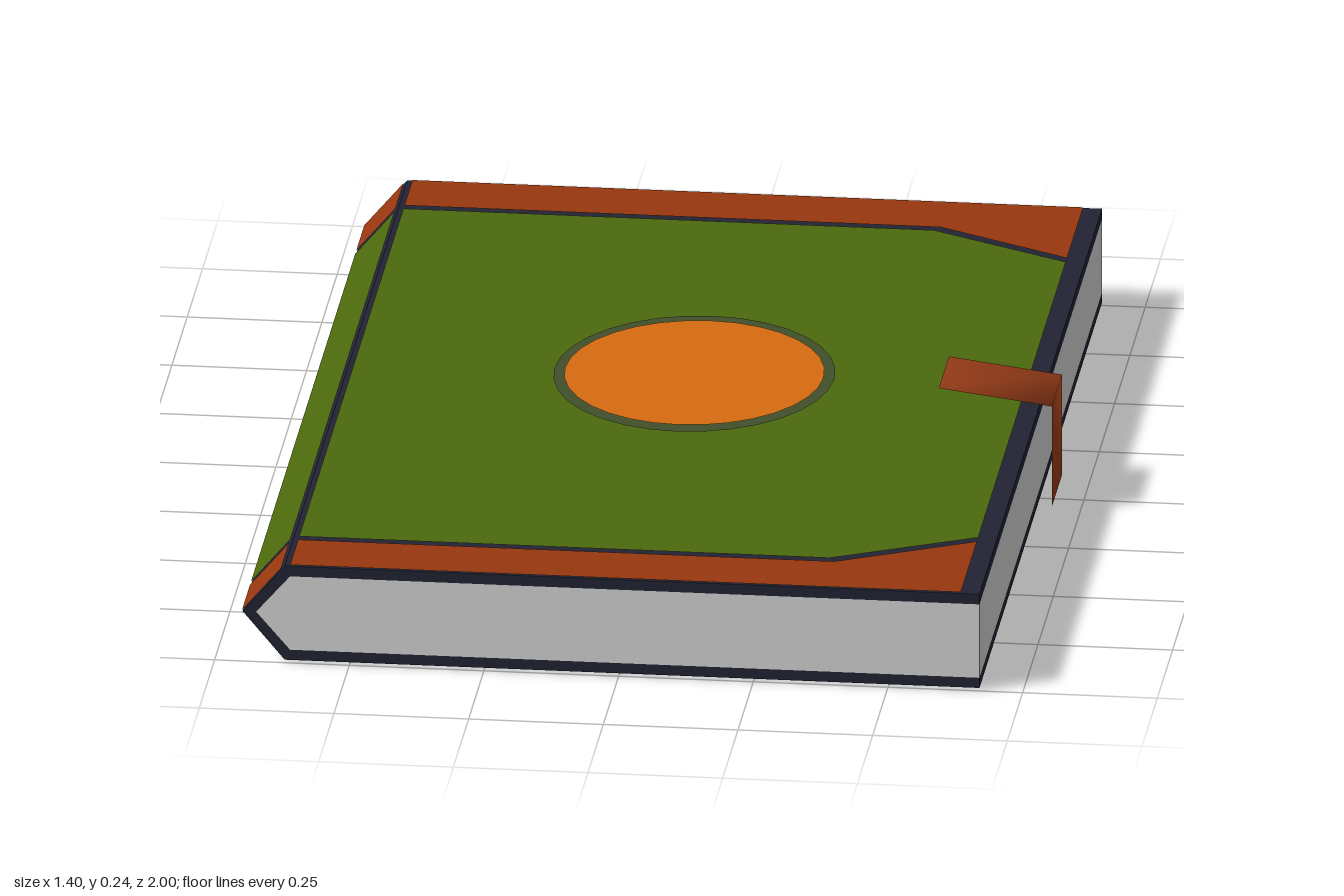
import * as THREE from 'three';

const mat = (name, color) => {
  const m = new THREE.MeshStandardMaterial({ color });
  m.name = name;
  return m;
};

export function createModel() {
  const navy = mat('navy edge', 0x212335);
  const green = mat('green cloth', 0x4c6a0d);
  const rust = mat('rust leather', 0x983810);
  const paper = mat('paper', 0xdadada);
  const orange = mat('orange medallion', 0xd86c11);
  const olive = mat('olive ring', 0x42502a);
  const strapMat = mat('strap leather', 0x983c18);
  strapMat.side = THREE.DoubleSide;

  const H = 0.185, MID = H / 2, HINGE = -0.62, SPINE = -0.698, EDGE = 0.67;
  const book = new THREE.Group();
  book.name = 'book';

  const add = (parent, name, geometry, material) => {
    const mesh = new THREE.Mesh(geometry, material);
    mesh.name = name;
    parent.add(mesh);
    return mesh;
  };
  const shapeOf = pts => new THREE.Shape(pts.map(p => new THREE.Vector2(...p)));

  // Profile in x/y, run along the full height of the book
  const block = (name, pts, material) => {
    const g = new THREE.ExtrudeGeometry(shapeOf(pts), { depth: 2, bevelEnabled: false });
    add(book, name, g.translate(0, 0, -1), material);
  };
  const T = 0.02;
  const inner = [[EDGE, H - T], [HINGE + 0.01, H - T], [SPINE + 0.025, MID], [HINGE + 0.01, T], [EDGE, T]];
  block('coverShell', [[EDGE, H], [HINGE, H], [SPINE, MID], [HINGE, 0], [EDGE, 0], ...[...inner].reverse()], navy);
  block('pages', inner, paper);

  // Painted panel from x/z points, facing up
  const panel = (parent, name, pts, material, y = 0.002) =>
    add(parent, name, new THREE.ShapeGeometry(shapeOf(pts.map(([x, z]) => [x, -z]))).rotateX(-Math.PI / 2).translate(0, y, 0), material);
  const disc = (parent, name, rx, rz, material, y) => {
    const g = new THREE.CircleGeometry(1, 32).scale(rx, rz, 1).rotateX(-Math.PI / 2);
    add(parent, name, g.translate(0.02, y, -0.06), material);
  };

  const slope = Math.hypot(HINGE - SPINE, MID);
  const angle = Math.atan2(MID, HINGE - SPINE);

  // Same decoration on both covers, the back one turned over
  for (const side of ['front', 'back']) {
    const cover = new THREE.Group();
    cover.name = side + 'Cover';
    cover.position.y = side === 'front' ? H : 0;
    if (side === 'back') cover.rotation.x = Math.PI;
    book.add(cover);

    panel(cover, 'clothPanel', [[-0.61, -0.85], [0.375, -0.85], [0.635, -0.715],
      [0.635, 0.715], [0.375, 0.85], [-0.61, 0.85]], green);
    disc(cover, 'medallionRing', 0.26, 0.3, olive, 0.004);
    disc(cover, 'medallion', 0.24, 0.27, orange, 0.006);

    // Half of the spine, sloping down from the hinge
    const spine = new THREE.Group();
    spine.name = 'spineHalf';
    spine.position.x = HINGE;
    spine.rotation.z = angle;
    cover.add(spine);
    const band = (name, z0, z1, m) =>
      panel(spine, name, [[-slope, z0], [-0.008, z0], [-0.008, z1], [-slope, z1]], m);
    band('spineCloth', -0.85, 0.85, green);

    for (const s of [-1, 1]) {
      panel(cover, 'leatherCorner', [[-0.61, 0.867], [0.385, 0.867], [0.635, 0.735],
        [0.635, 0.998], [-0.61, 0.998]].map(([x, z]) => [x, z * s]), rust);
      band('spineLeather', 0.867 * s, 0.998 * s, rust);
    }
  }

  // Bent strap over the fore edge, a thin sheet with soft shading at the bend
  const path = [[0.49, 0.235], [0.7, 0.208], [0.7, 0.01]];
  const strap = new THREE.PlaneGeometry(1, 0.165, path.length - 1, 1).rotateX(-Math.PI / 2);
  const pos = strap.attributes.position;
  for (let i = 0; i < pos.count; i++) {
    const [x, y] = path[i % path.length];
    pos.setXYZ(i, x, y, pos.getZ(i));
  }
  strap.computeVertexNormals();
  add(book, 'strap', strap, strapMat);

  return book;
}
